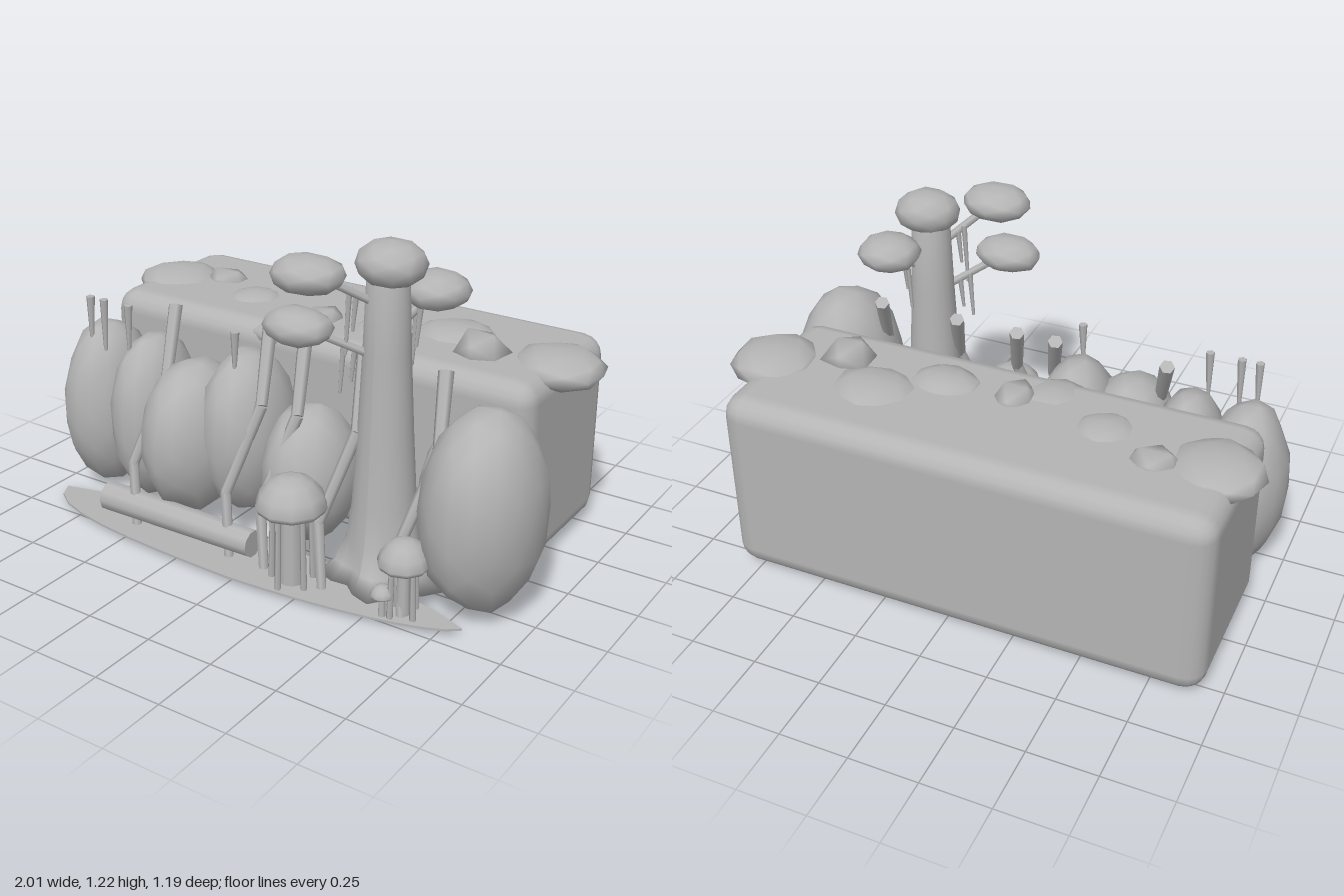
import * as THREE from 'three';
import { mergeVertices } from 'three/addons/utils/BufferGeometryUtils.js';
import { RoundedBoxGeometry } from 'three/addons/geometries/RoundedBoxGeometry.js';

export function createModel() {
  const model = new THREE.Group();
  const stone = new THREE.MeshStandardMaterial({ color: 0xb4b4b4 });
  stone.name = 'plain grey';

  let seed = 7;
  const rand = () => (seed = (seed * 16807) % 2147483647) / 2147483647 - 0.5;

  function add(name, geometry, x = 0, y = 0, z = 0) {
    const mesh = new THREE.Mesh(geometry, stone);
    mesh.name = name;
    mesh.position.set(x, y, z);
    model.add(mesh);
    return mesh;
  }

  // Irregular low-poly ellipsoid with smooth normals
  function boulder(name, [x, y, z, rx, ry, rz], detail = 2, rough = 0.06) {
    let geo = new THREE.IcosahedronGeometry(1, detail);
    geo.deleteAttribute('uv');
    geo.deleteAttribute('normal');
    geo = mergeVertices(geo, 1e-3);
    const p = geo.attributes.position;
    for (let i = 0; i < p.count; i++) {
      const k = 1 + rand() * rough;
      p.setXYZ(i, p.getX(i) * rx * k, p.getY(i) * ry * k, p.getZ(i) * rz * k);
    }
    geo.computeVertexNormals();
    return add(name, geo, x, y, z);
  }

  // Tapered stick between two points
  function stick(name, a, b, ra, rb = ra, sides = 6) {
    const from = new THREE.Vector3(...a), to = new THREE.Vector3(...b);
    const dir = to.clone().sub(from);
    const mesh = add(name, new THREE.CylinderGeometry(rb, ra, dir.length(), sides));
    mesh.position.copy(from).add(to).multiplyScalar(0.5);
    mesh.quaternion.setFromUnitVectors(new THREE.Vector3(0, 1, 0), dir.normalize());
    return mesh;
  }

  // Main rounded block
  add('block', new RoundedBoxGeometry(1.78, 0.71, 0.64, 2, 0.08), -0.05, 0.375, -0.27);

  // Row of tall boulders along the front
  [
    [-0.83, 0.35, 0.2, 0.16, 0.33, 0.2],
    [-0.61, 0.35, 0.2, 0.14, 0.33, 0.2],
    [-0.37, 0.35, 0.27, 0.18, 0.29, 0.23],
    [-0.18, 0.39, 0.2, 0.16, 0.31, 0.21],
    [0.09, 0.3, 0.2, 0.17, 0.26, 0.2],
    [0.62, 0.32, 0.17, 0.09, 0.27, 0.14],
    [0.8, 0.385, 0.26, 0.2, 0.36, 0.25],
  ].forEach((b) => boulder('frontBoulder', b));

  // Flat stones lying on the block
  [
    [-0.84, 0.705, -0.25, 0.165, 0.055, 0.165],
    [-0.44, 0.7, -0.2, 0.12, 0.05, 0.12],
    [-0.2, 0.68, -0.08, 0.14, 0.06, 0.14],
    [0.17, 0.71, -0.16, 0.14, 0.05, 0.11],
    [0.38, 0.7, -0.29, 0.17, 0.06, 0.15],
    [0.8, 0.705, -0.25, 0.165, 0.065, 0.165],
  ].forEach((b) => boulder('topStone', b, 1, 0.1));
  [
    [-0.65, 0.71, -0.31, 0.1, 0.06, 0.08],
    [-0.09, 0.71, -0.14, 0.085, 0.07, 0.1],
    [0.55, 0.73, -0.16, 0.1, 0.09, 0.1],
  ].forEach((b) => boulder('pointedStone', b, 0, 0.2));

  // Thin lens of ground
  const ground = new THREE.Shape();
  ground.moveTo(-0.92, -0.38);
  ground.bezierCurveTo(-0.9, -0.55, -0.4, -0.57, 0, -0.58);
  ground.bezierCurveTo(0.35, -0.57, 0.75, -0.51, 0.82, -0.42);
  ground.bezierCurveTo(0.6, -0.28, -0.6, -0.26, -0.92, -0.38);
  const plate = add('ground',
    new THREE.ExtrudeGeometry(ground, { depth: 0.008, bevelEnabled: false, curveSegments: 8 }), 0, 0.02, 0);
  plate.rotation.x = -Math.PI / 2;

  // Tree trunk with a flared, lobed foot
  const profile = [[0, 0.02], [0.2, 0.02], [0.15, 0.08], [0.125, 0.17], [0.11, 0.3], [0.095, 0.55], [0.08, 0.85], [0.07, 1.12], [0, 1.12]];
  const trunk = new THREE.LatheGeometry(profile.map(([r, y]) => new THREE.Vector2(r, y)), 20);
  const tp = trunk.attributes.position;
  for (let i = 0; i < tp.count; i++) {
    const x = tp.getX(i), z = tp.getZ(i);
    const foot = Math.max(0, 1 - tp.getY(i) / 0.18);
    const k = 1 + 0.2 * foot * Math.cos(5 * Math.atan2(z, x));
    tp.setX(i, x * k);
    tp.setZ(i, z * k);
  }
  trunk.computeVertexNormals();
  add('trunk', trunk, 0.42, 0, 0.25);

  // Leaf crowns, branches and hanging vines
  [
    [0.435, 1.145, 0.26, 0.12, 0.078, 0.115],
    [0.25, 1.13, 0.455, 0.13, 0.063, 0.11],
    [0.195, 0.94, 0.435, 0.127, 0.063, 0.1],
    [0.52, 1.03, 0.11, 0.115, 0.065, 0.115],
  ].forEach((c) => boulder('crown', c, 1, 0.08));
  stick('branch', [0.41, 1.0, 0.27], [0.27, 1.12, 0.43], 0.015);
  stick('branch', [0.41, 0.82, 0.27], [0.22, 0.93, 0.42], 0.015);
  stick('branch', [0.44, 0.92, 0.23], [0.51, 1.02, 0.13], 0.015);
  [
    [0.33, 1.07, 0.34, 0.84], [0.35, 1.05, 0.33, 0.92], [0.31, 0.88, 0.34, 0.7],
    [0.34, 0.86, 0.32, 0.74], [0.48, 0.98, 0.17, 0.78], [0.5, 0.99, 0.18, 0.85],
  ].forEach(([x, y, z, end]) => stick('vine', [x, y, z], [x - 0.01, end, z + 0.005], 0.011, 0.006, 5));

  // Bent posts leaning on the boulders
  [-0.53, -0.11, 0.04, 0.28, 0.59].forEach((x) => {
    const path = [[x, 0.78, 0.16], [x + 0.06, 0.55, 0.3], [x - 0.02, 0.24, 0.41], [x + 0.03, 0.01, 0.465]];
    const radii = [0.027, 0.022, 0.02, 0.017];
    for (let i = 0; i < 3; i++) stick('bentPost', path[i], path[i + 1], radii[i], radii[i + 1]);
  });

  // Small stakes above the boulders
  [[-0.83, 0.6], [-0.765, 0.57], [-0.65, 0.61], [-0.17, 0.64]].forEach(([x, y]) =>
    stick('stake', [x, y, 0.29], [x + 0.005, 0.795, 0.29], 0.006, 0.016));

  // Fallen log
  stick('log', [-0.66, 0.085, 0.43], [0, 0.085, 0.43], 0.056, 0.05, 10);

  // Mushrooms: domed cap, stem and thin props around the larger ones
  function mushroom(x, z, r, rim, top, stemR, props) {
    const h = top - rim;
    const outline = [[0, 0.2], [0.6, 0.1], [0.92, 0], [1, 0.16], [0.88, 0.5], [0.6, 0.85], [0.3, 0.98], [0, 1]]
      .map(([a, b]) => new THREE.Vector2(a * r, b * h));
    add('mushroomCap', new THREE.LatheGeometry(outline, 10), x, rim, z);
    stick('mushroomStem', [x, 0.02, z], [x, rim + 0.25 * h, z], stemR, stemR * 0.8, 10);
    for (let i = 0; i < props; i++) {
      const a = (i / props) * Math.PI * 2 + 0.4;
      const px = Math.cos(a) * r * 0.6, pz = Math.sin(a) * r * 0.6;
      stick('mushroomProp', [x + px, 0.02, z + pz], [x + px * 0.9, rim + 0.2 * h, z + pz * 0.9], 0.012, 0.009, 5);
    }
  }
  mushroom(0.195, 0.475, 0.125, 0.3, 0.42, 0.045, 5);
  mushroom(0.615, 0.445, 0.09, 0.205, 0.3, 0.025, 4);
  mushroom(0.565, 0.495, 0.04, 0.1, 0.14, 0.013, 0);

  return model;
}
